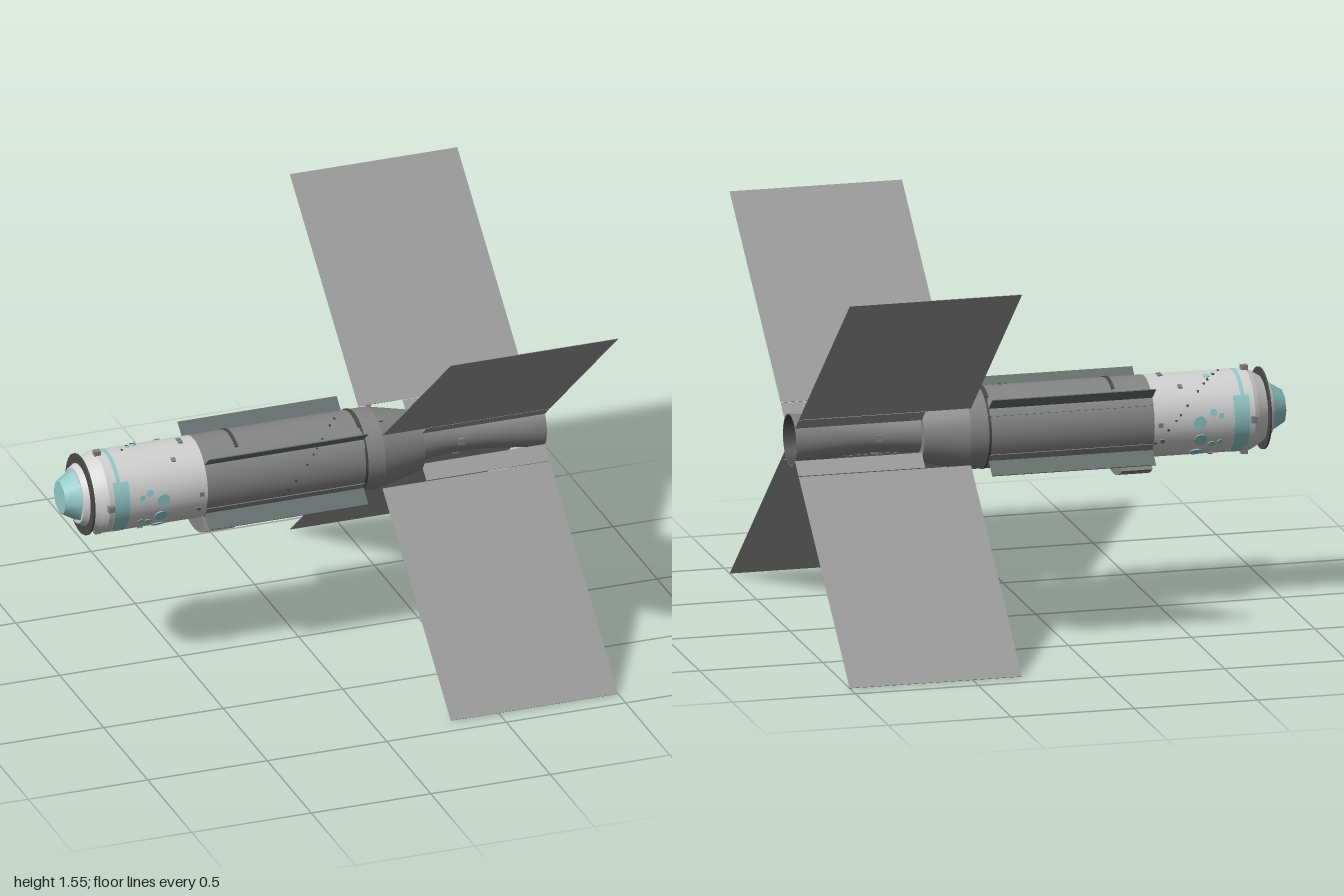
import * as THREE from 'three';

const mat = (name, color, side = THREE.FrontSide) => {
  const m = new THREE.MeshStandardMaterial({ color, side });
  m.name = name;
  return m;
};

export function createModel() {
  const white = mat('hull white', 0xd2d2d2);
  const grey = mat('hull grey', 0x868686);
  const finGrey = mat('panel grey', 0x9c9c9c);
  const wingGrey = mat('wing green grey', 0x68716f);
  const dark = mat('dark grey', 0x4a4a4a);
  const teal = mat('glass teal', 0x93c9c9);

  const R = 0.163;
  const model = new THREE.Group();
  const craft = new THREE.Group();
  craft.name = 'craft';
  craft.position.y = 0.775;
  model.add(craft);

  const add = (name, geo, material, parent = craft) => {
    const m = new THREE.Mesh(geo, material);
    m.name = name;
    parent.add(m);
    return m;
  };

  // Turned parts along x from [x, radius] points; each step is its own lathe so edges stay sharp
  const turned = (name, pts, material, sides = 40) => {
    const g = new THREE.Group();
    g.name = name;
    for (let i = 0; i < pts.length - 1; i++) {
      const seg = [pts[i], pts[i + 1]].map(([x, r]) => new THREE.Vector2(r, x));
      add(name + 'Section', new THREE.LatheGeometry(seg, sides).rotateZ(-Math.PI / 2), material, g);
    }
    craft.add(g);
  };

  // Turned part with a smooth profile
  const smoothTurned = (name, pts, material) => {
    const curve = new THREE.SplineCurve(pts.map(([x, r]) => new THREE.Vector2(r, x)));
    add(name, new THREE.LatheGeometry(curve.getPoints(20), 40).rotateZ(-Math.PI / 2), material);
  };

  // Curved plate round the axis, centred at angle deg (0 = up, 90 = +z)
  const arcPlate = (name, x0, x1, r0, r1, deg, halfDeg, material) => {
    const h = THREE.MathUtils.degToRad(halfDeg);
    const s = new THREE.Shape();
    s.absarc(0, 0, r1, Math.PI / 2 - h, Math.PI / 2 + h, false);
    s.absarc(0, 0, r0, Math.PI / 2 + h, Math.PI / 2 - h, true);
    const geo = new THREE.ExtrudeGeometry(s, { depth: x1 - x0, bevelEnabled: false, curveSegments: 16 });
    geo.rotateY(Math.PI / 2).translate(x0, 0, 0).rotateX(THREE.MathUtils.degToRad(deg));
    return add(name, geo, material);
  };

  // Box from radius r0 to r1, standing out from the axis at an angle
  const radialBox = (name, x0, x1, r0, r1, thick, deg, material) => {
    const geo = new THREE.BoxGeometry(x1 - x0, r1 - r0, thick);
    geo.translate((x0 + x1) / 2, (r0 + r1) / 2, 0).rotateX(THREE.MathUtils.degToRad(deg));
    return add(name, geo, material);
  };

  // Nose window and shoulder
  turned('noseWindow', [[-1, 0], [-1, 0.068], [-0.935, 0.108]], teal, 8);
  turned('noseShoulder', [[-0.94, 0], [-0.94, 0.112], [-0.91, 0.13], [-0.868, 0.155], [-0.85, R]], white);
  turned('noseRing', [[-0.917, 0.12], [-0.917, R], [-0.91, R], [-0.91, 0.12]], dark);

  // Hull
  turned('frontHull', [[-0.85, R], [-0.44, R]], white);
  turned('rearHull', [[-0.44, R], [0.305, R], [0.485, 0.122], [0.485, 0.06]], grey);
  turned('rearSeam', [[0.222, R], [0.222, R + 0.002], [0.232, R + 0.002], [0.232, R]], dark);

  // Tail pipe, open at the back
  smoothTurned('tailPipe', [[0.48, 0.085], [0.56, 0.076], [0.66, 0.07], [0.8, 0.078], [1, 0.105]], grey);
  smoothTurned('nozzleInside', [[1, 0.101], [0.9, 0.085], [0.78, 0.07]], dark);
  turned('nozzleLip', [[1, 0.105], [1, 0.101]], grey);
  turned('nozzleBack', [[0.78, 0.072], [0.78, 0]], finGrey);

  // Four crossed panels, root strips, wings and wing saddles
  for (const deg of [49.7, -49.7, 130.3, -130.3]) {
    radialBox('tailPanel', 0.3, 1, 0.18, 1.199, 0.002, deg, finGrey);
    radialBox('panelRoot', 0.485, 1, 0.104, 0.177, 0.003, deg, finGrey);
    radialBox('wing', -0.44, 0.225, 0.155, 0.238, 0.004, deg, wingGrey);
    arcPlate('wingSaddle', -0.44, 0.225, R - 0.004, R + 0.003, deg, 12, grey);
  }

  // Square thrusters on the nose and the pipe
  for (const deg of [0, 90, 180, 270]) {
    radialBox('noseThruster', -0.858, -0.832, 0.15, 0.18, 0.026, deg, grey);
    radialBox('pipeThruster', 0.642, 0.668, 0.06, 0.08, 0.026, deg, grey);
  }

  // Belly housing and top straps
  arcPlate('bellyHousing', -0.44, -0.315, R - 0.004, 0.225, 180, 35, grey);
  for (const x of [-0.297, 0.215]) arcPlate('topStrap', x, x + 0.013, R - 0.002, R + 0.004, 0, 31, dark);

  // Teal band and side patches
  turned('tealBand', [[-0.812, R + 0.001], [-0.796, R + 0.001]], teal);
  for (const s of [1, -1]) {
    arcPlate('sidePatch', -0.828, -0.765, R - 0.003, R + 0.0015, s * 95, 40, teal);
    arcPlate('lowerPatch', -0.815, -0.765, R - 0.003, R + 0.0012, s * 145, 16, teal);
  }

  // Round ports: x, angle, radius
  const ports = [[-0.625, 90, 0.027], [-0.63, 117, 0.027], [-0.625, 146, 0.027], [-0.68, 77, 0.015],
    [-0.712, 82, 0.012], [-0.68, 126, 0.015], [-0.712, 123, 0.012], [-0.68, 15, 0.014], [-0.71, 10, 0.01]];
  for (const [x, deg, r] of ports) {
    for (const s of deg < 20 ? [-1] : [1, -1]) {
      const geo = new THREE.CylinderGeometry(r, r, 0.008, 12);
      geo.translate(x, R - 0.002, 0).rotateX(THREE.MathUtils.degToRad(s * deg));
      add('port', geo, teal);
    }
  }

  // Small hull fittings
  for (const [x, deg] of [[-0.475, 114], [-0.465, 90], [-0.5, 4], [-0.69, 155], [-0.56, 35], [0.315, -24]]) {
    for (const s of [1, -1]) radialBox('fitting', x - 0.009, x + 0.009, R - 0.025, R + 0.005, 0.018, s * deg, grey);
  }
  for (let i = 0; i < 28; i++) {
    const x = -0.74 + ((i * 0.618034) % 1) * 0.9;
    radialBox('bolt', x - 0.004, x + 0.004, R - 0.005, R + 0.004, 0.008, i * 137.5, dark);
  }

  return model;
}
